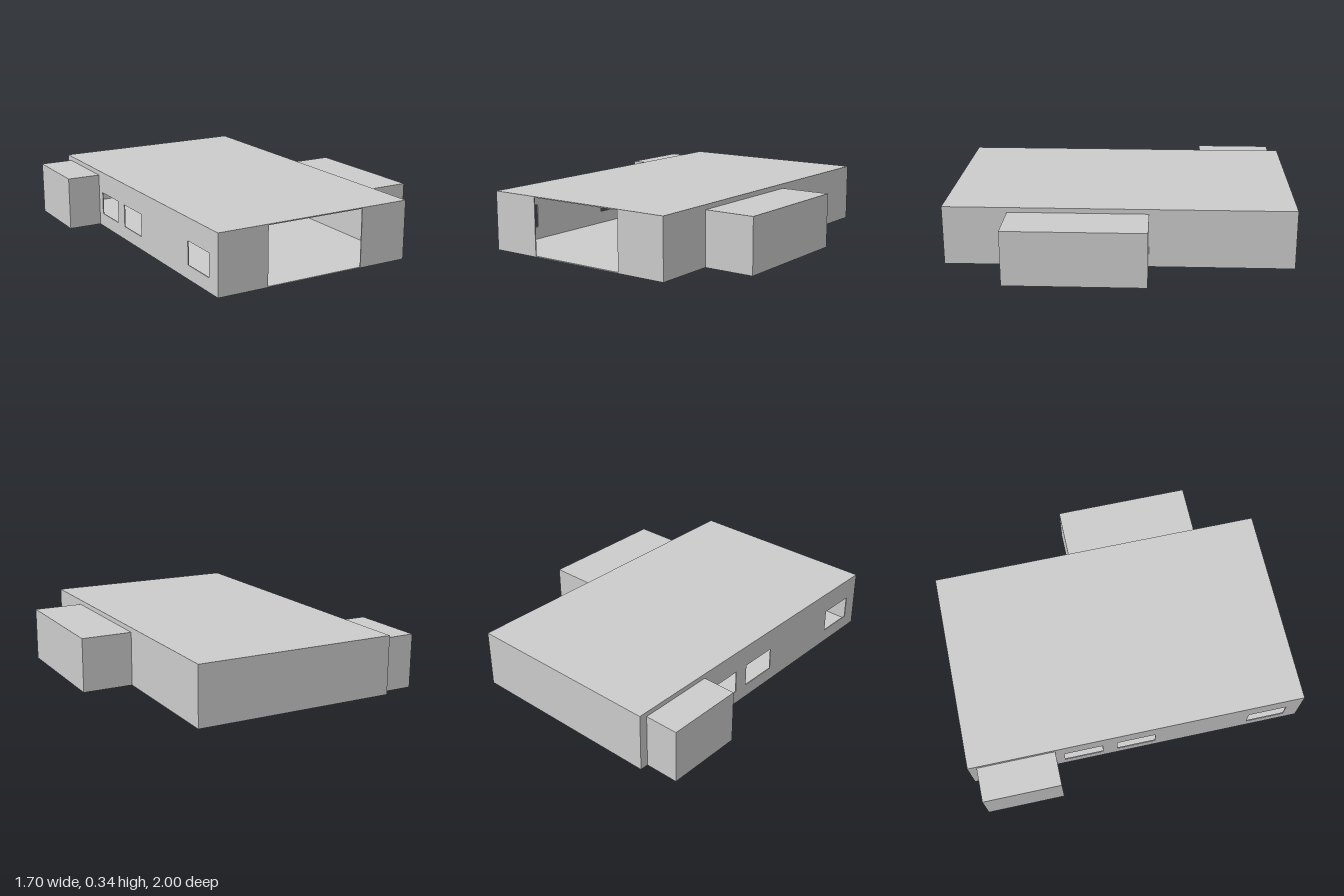
import * as THREE from 'three';

const X0 = -0.65, X1 = 0.55, Z0 = -1, Z1 = 1, H = 0.345, T = 0.006;

export function createModel() {
  const group = new THREE.Group();
  const material = new THREE.MeshStandardMaterial({ color: 0xcccccc, flatShading: true });

  const add = (name, geometry) => {
    const mesh = new THREE.Mesh(geometry, material);
    mesh.name = name;
    group.add(mesh);
    return mesh;
  };

  // Box given by its two opposite corners
  const box = (name, x0, x1, y0, y1, z0, z1) =>
    add(name, new THREE.BoxGeometry(x1 - x0, y1 - y0, z1 - z0))
      .position.set((x0 + x1) / 2, (y0 + y1) / 2, (z0 + z1) / 2);

  const rect = (path, a0, a1, b0, b1) =>
    path.moveTo(a0, b0).lineTo(a1, b0).lineTo(a1, b1).lineTo(a0, b1).closePath();

  // Floor and roof slabs
  box('floor', X0, X1, 0, T, Z0, Z1);
  box('roof', X0, X1, H - T, H, Z0, Z1);

  // Plain back and left walls
  box('backWall', X0, X1, T, H - T, Z0, Z0 + T);
  box('leftWall', X1 - T, X1, T, H - T, Z0 + T, Z1 - T);

  // Front wall either side of the full-height doorway
  box('frontWallRight', X0, -0.35, T, H - T, Z1 - T, Z1);
  box('frontWallLeft', 0.25, X1, T, H - T, Z1 - T, Z1);

  // Right wall with a row of windows
  const wall = new THREE.Shape();
  rect(wall, Z0 + T, Z1 - T, T, H - T);
  for (const [a, b] of [[-0.44, -0.21], [-0.12, 0.11], [0.68, 0.91]]) {
    const hole = new THREE.Path();
    rect(hole, a, b, 0.08, 0.215);
    wall.holes.push(hole);
  }
  const windowWall = add('windowWall', new THREE.ExtrudeGeometry(wall, { depth: T, bevelEnabled: false }));
  windowWall.rotation.y = -Math.PI / 2;
  windowWall.position.x = X0 + T;

  // Lower annexes on both sides
  box('leftAnnex', X1, 0.85, 0, 0.317, -0.17, 0.63);
  box('rightAnnex', -0.85, X0, 0, 0.317, -0.95, -0.49);

  return group;
}
